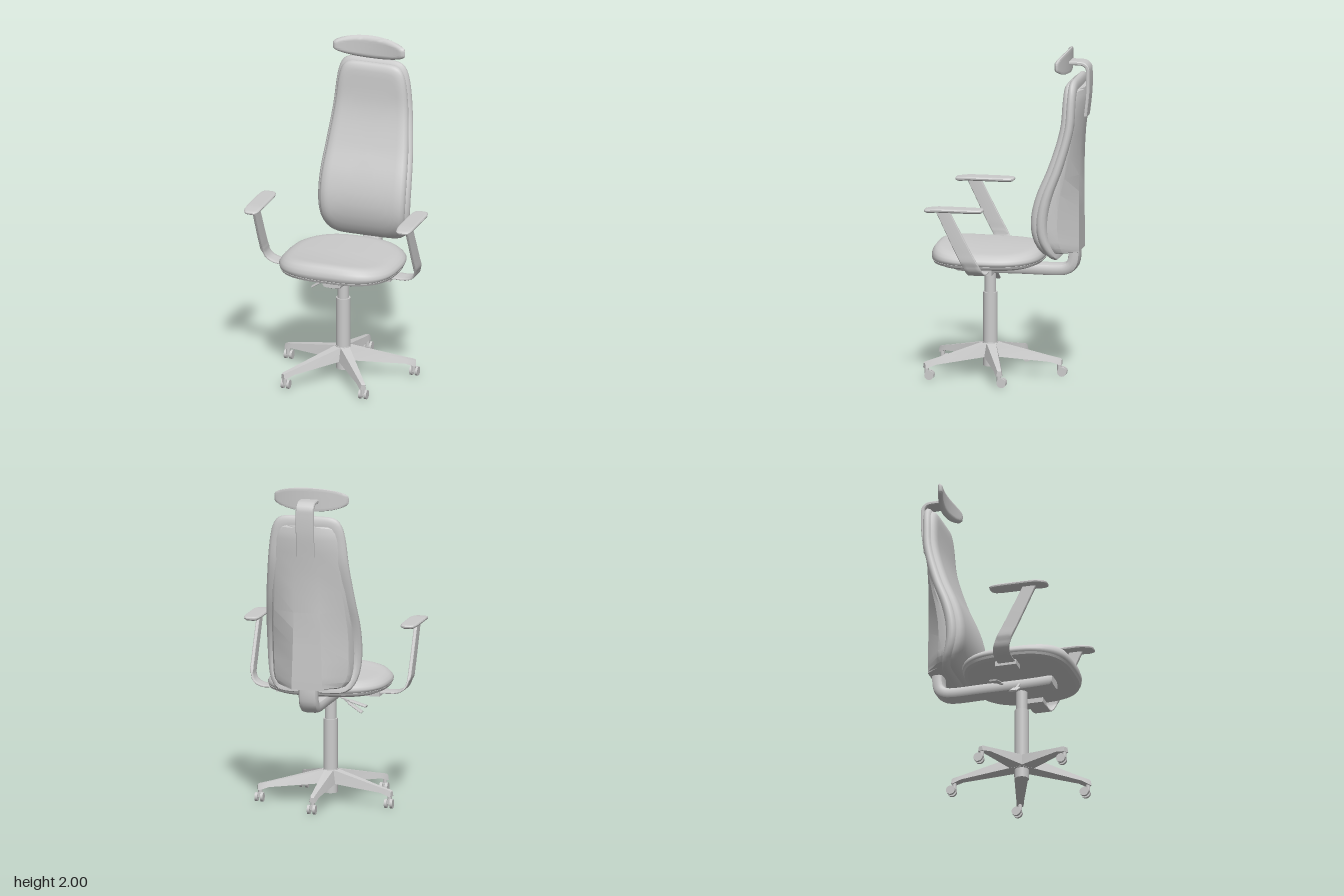
import * as THREE from 'three';
import { toCreasedNormals } from 'three/addons/utils/BufferGeometryUtils.js';

const material = new THREE.MeshStandardMaterial({ color: 0xcccccc });

function mesh(name, geometry) {
  const m = new THREE.Mesh(geometry, material);
  m.name = name;
  return m;
}

// Smooth curve through [position, value] pairs
function smooth(pairs) {
  const c = new THREE.CubicInterpolant(pairs.map(p => p[0]), pairs.map(p => p[1]), 1);
  return t => c.evaluate(t)[0];
}

// Solid skin over closed rings of points, capped at both ends, always facing outwards
function loft(rings, crease = 0.6) {
  const n = rings[0].length, pos = rings.flat(2), idx = [];
  const centre = ring => [0, 1, 2].map(k => ring.reduce((s, p) => s + p[k], 0) / n);
  pos.push(...centre(rings[0]), ...centre(rings[rings.length - 1]));
  const first = rings.length * n, last = (rings.length - 1) * n;
  for (let j = 0; j < n; j++) {
    const k = (j + 1) % n;
    for (let i = 0; i < last; i += n) idx.push(i + j, i + k, i + n + j, i + k, i + n + k, i + n + j);
    idx.push(first, k, j, first + 1, last + j, last + k);
  }
  const at = i => new THREE.Vector3().fromArray(pos, i * 3);
  let volume = 0;
  for (let i = 0; i < idx.length; i += 3) volume += at(idx[i]).dot(at(idx[i + 1]).cross(at(idx[i + 2])));
  if (volume < 0) idx.reverse();
  const g = new THREE.BufferGeometry();
  g.setAttribute('position', new THREE.Float32BufferAttribute(pos, 3));
  g.setIndex(idx);
  return toCreasedNormals(g, crease);
}

// Unit rounded square, evenly sampled along its sides
function roundedSquare(n, perSide) {
  const pts = [];
  for (let s = 0; s < 4; s++) for (let i = 0; i < perSide; i++) {
    const t = -1 + 2 * i / perSide;
    const [a, b] = [[t, -1], [1, t], [-t, 1], [-1, -t]][s];
    const k = (Math.abs(a) ** n + Math.abs(b) ** n) ** (-1 / n);
    pts.push([a * k, b * k]);
  }
  return pts;
}

// Padded panel: profile rows are [inset, offset], place maps them into space
function pad(hw, hh, n, profile, place, crease = 0.9) {
  const outline = roundedSquare(n, 20);
  const ring = (inset, off, s = 1) => outline.map(([a, b]) => place(a * (hw - inset) * s, b * (hh - inset) * s, off));
  const steps = [0.05, 0.2, 0.35, 0.5, 0.65, 0.8, 0.92];
  const [a, b] = [profile[0], profile[profile.length - 1]];
  return loft([
    ...steps.map(s => ring(...a, s)),
    ...profile.map(p => ring(...p)),
    ...steps.slice().reverse().map(s => ring(...b, s)),
  ], crease);
}

// Bar of rounded section along a path; size(t) gives [width along axis, thickness]
function sweep(points, axis, size, n = 5, steps = 32) {
  const curve = new THREE.CatmullRomCurve3(points.map(p => new THREE.Vector3(...p)));
  const wide = new THREE.Vector3(...axis), section = roundedSquare(n, 4), rings = [];
  for (let i = 0; i <= steps; i++) {
    const t = i / steps, c = curve.getPointAt(t), [w, h] = size(t);
    const normal = curve.getTangentAt(t).cross(wide).normalize();
    rings.push(section.map(([a, b]) =>
      c.clone().addScaledVector(wide, a * w / 2).addScaledVector(normal, b * h / 2).toArray()));
  }
  return loft(rings);
}

function cylinder(name, r, y0, y1, x, z, r2 = r) {
  const m = mesh(name, new THREE.CylinderGeometry(r2, r, y1 - y0, 32));
  m.position.set(x, (y0 + y1) / 2, z);
  return m;
}

const COLUMN_Z = 0.13;

function createBase() {
  const base = new THREE.Group();
  base.name = 'base';
  base.add(cylinder('hub', 0.043, 0.05, 0.5, 0, COLUMN_Z));
  base.add(cylinder('hubCollar', 0.055, 0.11, 0.195, 0, COLUMN_Z, 0.046));
  base.add(cylinder('gasLift', 0.034, 0.5, 0.64, 0, COLUMN_Z));
  // rows: radius, half width, bottom, top
  const rows = [[0.02, 0.05, 0.11, 0.195], [0.06, 0.045, 0.112, 0.187], [0.37, 0.024, 0.088, 0.118],
    [0.425, 0.021, 0.07, 0.107], [0.435, 0.018, 0.07, 0.1]];
  const legGeometry = loft(rows.map(([r, w, y0, y1]) =>
    [[-w, y0, r], [w, y0, r], [w * 0.6, y1, r], [-w * 0.6, y1, r]]), 0.5);
  for (let i = 0; i < 5; i++) {
    const angle = Math.PI * (0.2 + 0.4 * i);
    const leg = mesh('baseLeg', legGeometry);
    leg.rotation.y = angle;
    leg.position.z = COLUMN_Z;
    base.add(leg);
    // twin-wheel caster, trailing backwards
    const caster = new THREE.Group();
    caster.name = 'caster';
    caster.position.set(Math.sin(angle) * 0.42, 0, COLUMN_Z + Math.cos(angle) * 0.42);
    caster.add(cylinder('casterPin', 0.013, 0.035, 0.08, 0, 0));
    const body = mesh('casterBody', new THREE.BoxGeometry(0.018, 0.025, 0.035));
    body.position.set(0, 0.04, -0.01);
    caster.add(body);
    for (const side of [-1, 1]) {
      const wheel = mesh('casterWheel', new THREE.CylinderGeometry(0.028, 0.028, 0.016, 20));
      wheel.rotation.z = Math.PI / 2;
      wheel.position.set(side * 0.017, 0.029, -0.018);
      caster.add(wheel);
    }
    base.add(caster);
  }
  return base;
}

function createSeat() {
  const seat = new THREE.Group();
  seat.name = 'seat';
  const place = (u, v, y) => {
    const top = THREE.MathUtils.clamp((y - 0.725) / 0.06, 0, 1);
    const front = Math.max(0, v / 0.335), back = Math.max(0, -v / 0.335);
    const bump = 0.02 * front ** 2 - 0.02 * (u / 0.365) ** 2 - 0.005 * back;
    return [u * (1 - 0.07 * back ** 2), y + top * bump, COLUMN_Z + v];
  };
  seat.add(mesh('seatCushion', pad(0.365, 0.337, 2.9, [[0.08, 0.796], [0.05, 0.794], [0.025, 0.784],
    [0.008, 0.765], [0, 0.745], [0.003, 0.726], [0.012, 0.718]], place)));
  seat.add(mesh('seatPan', pad(0.365, 0.337, 2.9, [[0.02, 0.724], [0.006, 0.72], [0.012, 0.706], [0.05, 0.69]], place, 0.5)));
  return seat;
}

function createBackrest() {
  const back = new THREE.Group();
  back.name = 'backrest';
  const halfWidth = smooth([[0.74, 0.272], [0.85, 0.287], [1.0, 0.293], [1.15, 0.29], [1.3, 0.277], [1.55, 0.25], [1.84, 0.228]]);
  const frontZ = smooth([[0.74, -0.24], [0.79, -0.21], [0.89, -0.168], [1.0, -0.16], [1.13, -0.188],
    [1.32, -0.265], [1.55, -0.332], [1.7, -0.343], [1.84, -0.35]]);
  const depth = smooth([[0.74, 0.85], [1.0, 1], [1.5, 0.8], [1.84, 0.75]]);
  const place = (u, v, off) => {
    const y = 1.29 + v;
    return [u / 0.29 * halfWidth(y), y, frontZ(y) + off * depth(y)];
  };
  back.add(mesh('backCushion', pad(0.29, 0.55, 7, [[0.07, 0], [0.042, -0.006], [0.028, -0.018], [0.021, -0.035],
    [0.022, -0.052], [0.03, -0.06]], place)));
  back.add(mesh('backPadding', pad(0.29, 0.55, 7, [[0.035, -0.04], [0.014, -0.045], [0.003, -0.06], [0, -0.075],
    [0.006, -0.092], [0.025, -0.104], [0.05, -0.106]], place)));
  // rear shell with sloping sides and a flat spine
  const rearZ = smooth([[0.78, -0.427], [1.38, -0.43], [1.55, -0.442], [1.72, -0.462], [1.78, -0.455]]);
  const rows = [[0.78, 0.1], [0.79, 0.07], [0.82, 0.05], [0.86, 0.043], [0.95, 0.04], [1.05, 0.04], [1.15, 0.04], [1.25, 0.04],
    [1.38, 0.04], [1.5, 0.04], [1.62, 0.04], [1.7, 0.042], [1.74, 0.05], [1.77, 0.065], [1.78, 0.09]];
  back.add(mesh('backShell', loft(rows.map(([y, inset]) => {
    const w = halfWidth(y) - inset, edge = frontZ(y) - 0.09 * depth(y), rear = rearZ(y);
    const shoulder = edge + (rear - edge) * 0.4;
    const spine = 0.095 - 0.03 * (y - 0.78);
    return [[w, edge], [w - 0.005, (edge + shoulder) / 2], [w - 0.022, shoulder], [spine, rear],
      [-spine, rear], [0.022 - w, shoulder], [0.005 - w, (edge + shoulder) / 2], [-w, edge]].map(([x, z]) => [x, y, z]);
  }), 0.45)));
  return back;
}

function createHeadrest() {
  const head = new THREE.Group();
  head.name = 'headrest';
  const place = (u, v, off) => [u, 1.928 + v * (1 - 0.42 * (u / 0.23) ** 2), -0.332 + 0.04 * (u / 0.23) ** 2 + off];
  head.add(mesh('headCushion', pad(0.23, 0.072, 4.5, [[0.03, 0], [0.018, -0.003], [0.008, -0.01], [0, -0.022],
    [0.003, -0.028], [0.015, -0.03]], place)));
  head.add(mesh('headrestBracket', sweep([[0, 1.92, -0.35], [0, 1.92, -0.42], [0, 1.915, -0.448], [0, 1.895, -0.468],
    [0, 1.86, -0.472], [0, 1.75, -0.471], [0, 1.6, -0.455]], [1, 0, 0], () => [0.11, 0.024], 8)));
  return head;
}

function createArm(side) {
  const arm = new THREE.Group();
  arm.name = side > 0 ? 'leftArm' : 'rightArm';
  const path = [[0.25, 0.682, 0.13], [0.36, 0.682, 0.13], [0.42, 0.685, 0.132], [0.465, 0.71, 0.14],
    [0.485, 0.765, 0.165], [0.487, 0.83, 0.2], [0.487, 1.08, 0.325]].map(([x, y, z]) => [side * x, y, z]);
  arm.add(mesh('armSupport', sweep(path, [0, 0, 1], t =>
    [0.11 - 0.025 * t, t < 0.45 ? 0.012 : 0.022], 8, 40)));
  arm.add(mesh('armPad', pad(0.052, 0.18, 4.5, [[0.012, 1.1], [0.004, 1.098], [0, 1.092], [0.002, 1.084], [0.014, 1.076]],
    (u, v, y) => [side * 0.484 + u, y - 0.008 * Math.max(0, (v - 0.1) / 0.08), 0.257 + v], 0.7)));
  const bracket = mesh('armBracket', new THREE.BoxGeometry(0.08, 0.033, 0.13));
  bracket.position.set(side * 0.28, 0.677, 0.125);
  arm.add(bracket);
  return arm;
}

function createMechanism() {
  const group = new THREE.Group();
  group.name = 'mechanism';
  group.add(mesh('backBar', sweep([[0, 0.66, 0.335], [0, 0.655, 0.2], [0, 0.655, -0.1], [0, 0.655, -0.29], [0, 0.662, -0.335],
    [0, 0.686, -0.37], [0, 0.73, -0.383], [0, 0.84, -0.385]], [1, 0, 0], t => [0.115, t < 0.02 ? 0.055 : 0.07], 4, 48)));
  // adjusting levers on the right side
  for (const [x, y, z] of [[-0.25, 0.605, 0.025], [-0.195, 0.545, 0.13]]) {
    group.add(mesh('lever', sweep([[-0.03, 0.675, z], [x * 0.5, (0.68 + y) / 2, z], [x, y, z]], [0, 0, 1],
      t => [t < 0.55 ? 0.016 : 0.048, 0.011], 4, 20)));
  }
  return group;
}

export function createModel() {
  const chair = new THREE.Group();
  chair.name = 'officeChair';
  chair.add(createBase(), createMechanism(), createSeat(), createBackrest(), createHeadrest(), createArm(1), createArm(-1));
  return chair;
}
